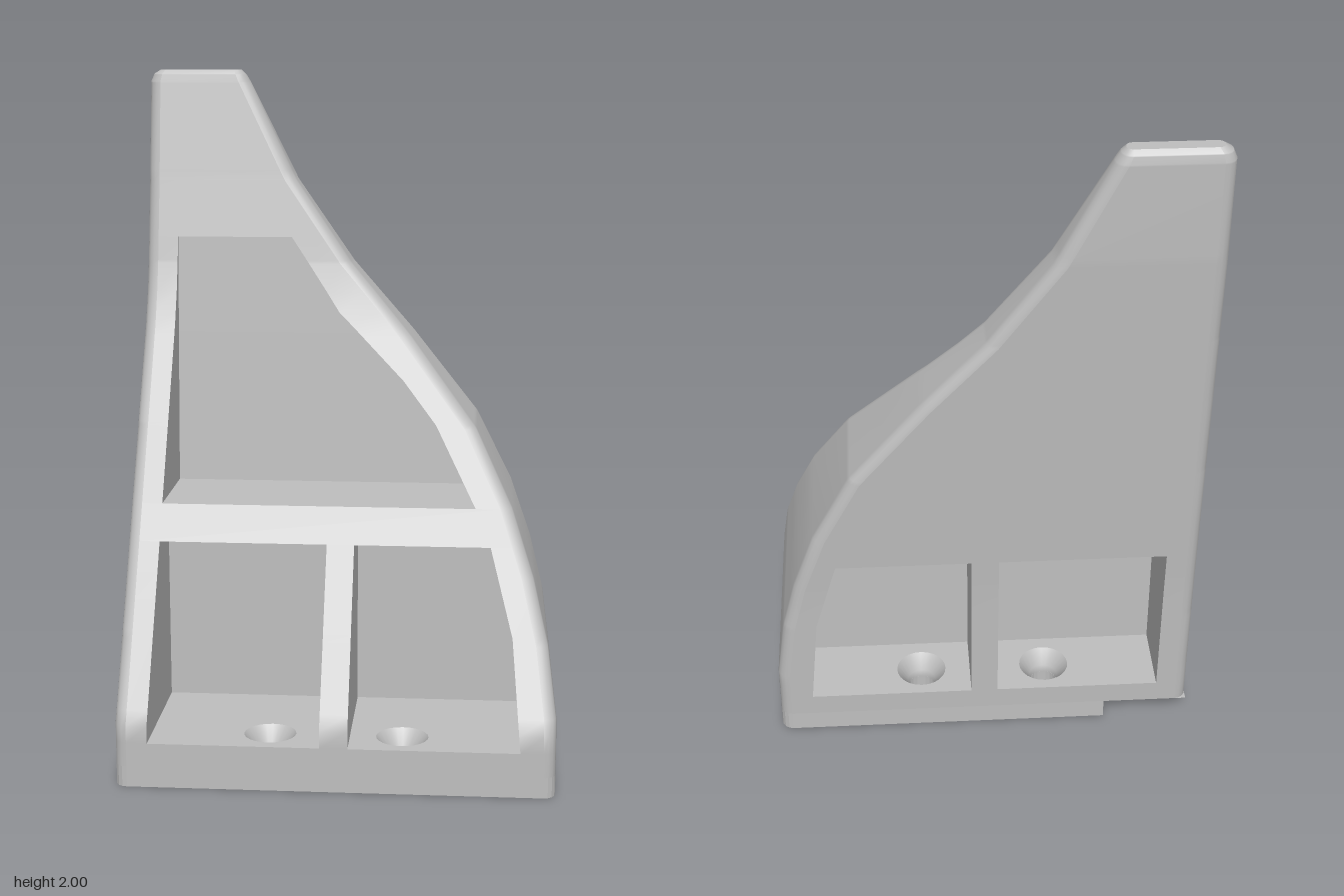
import * as THREE from 'three';

const grey = new THREE.MeshStandardMaterial({ color: 0xbfbfbf, side: THREE.DoubleSide });
grey.name = 'light grey';

// piecewise linear profile: [[y, value], ...] -> function of y
function profile(pts) {
  const f = (y) => {
    for (let i = 1; i < pts.length; i++) {
      const [y0, v0] = pts[i - 1], [y1, v1] = pts[i];
      if (y <= y1) return v0 + (v1 - v0) * Math.max(0, (y - y0) / (y1 - y0));
    }
    return pts[pts.length - 1][1];
  };
  f.ys = pts.map((p) => p[0]);
  return f;
}
const flat = (v) => () => v;

// outer form
const FOOT = 0.06;
const left = profile([[0, -0.625], [1.965, -0.625], [1.988, -0.615], [2, -0.595]]);
const right = profile([[0, 0.625], [0.22, 0.625], [0.4, 0.602], [0.57, 0.56], [0.75, 0.497], [0.96, 0.39],
  [1.21, 0.19], [1.42, 0.005], [1.67, -0.17], [1.96, -0.315], [1.985, -0.33], [2, -0.345]]);
const front = profile([[0, 0.43], [0.18, 0.43], [1.24, -0.18], [1.34, -0.223], [1.43, -0.25], [1.67, -0.3],
  [1.965, -0.355], [1.988, -0.36], [2, -0.372]]);
const back = profile([[0, -0.318], [0.5, -0.338], [1, -0.372], [1.7, -0.425], [1.965, -0.43], [1.988, -0.425], [2, -0.412]]);

// pocket edges
const pocketLeft = flat(-0.53);
const lowRight = profile([[0.13, 0.525], [0.42, 0.5], [0.65, 0.435]]);
const highRight = profile([[0.75, 0.39], [0.97, 0.27], [1.09, 0.17], [1.28, -0.03], [1.5, -0.18]]);
const highWall = profile([[0.75, -0.22], [1.5, -0.268]]);

const levels = [...new Set([left, right, front, back, lowRight, highRight].flatMap((f) => f.ys))].sort((a, b) => a - b);
const rowsBetween = (y0, y1) => [y0, ...levels.filter((y) => y > y0 + 1e-4 && y < y1 - 1e-4), y1];
const radius = (y) => Math.min(0.035, (front(y) - back(y)) * 0.45);

// skin over rows of points
function grid(rows) {
  const n = rows[0].length, index = [];
  for (let r = 0; r < rows.length - 1; r++) {
    for (let c = 0; c < n - 1; c++) {
      const a = r * n + c, b = a + 1, d = a + n, e = d + 1;
      index.push(a, b, e, a, e, d);
    }
  }
  const g = new THREE.BufferGeometry();
  g.setAttribute('position', new THREE.Float32BufferAttribute(rows.flat(2), 3));
  g.setIndex(index);
  g.computeVertexNormals();
  return g;
}

// one side of the horizontal section, with rounded corners, as [x, z]
function sidePoints(y, s) {
  const r = radius(y), x = s < 0 ? left(y) : right(y), pts = [];
  for (const [z, start] of [[front(y) - r, 0], [back(y) + r, 1]]) {
    for (let i = 0; i <= 4; i++) {
      const a = (start + i / 4) * Math.PI / 2;
      pts.push([x - s * r + s * r * Math.sin(a), z + r * Math.cos(a)]);
    }
  }
  return s < 0 ? pts.reverse() : pts;
}

export function createModel() {
  const root = new THREE.Group();
  root.name = 'ribbedBracket';
  const add = (name, geometry, parent = root) => {
    const m = new THREE.Mesh(geometry, grey);
    m.name = name;
    parent.add(m);
    return m;
  };

  // sheet following z(y) between two edges
  const panel = (name, y0, y1, xa, xb, z, parent) =>
    add(name, grid(rowsBetween(y0, y1).map((y) => [[xa(y), y, z(y)], [xb(y), y, z(y)]])), parent);

  // level sheet with optional screw hole
  const level = (name, y, xa, xb, za, zb, up, hole, parent) => {
    const s = new THREE.Shape();
    const k = up ? -1 : 1;
    s.moveTo(xa, k * za).lineTo(xb, k * za).lineTo(xb, k * zb).lineTo(xa, k * zb).closePath();
    if (hole) s.holes.push(new THREE.Path().absarc(hole[0], k * hole[1], 0.075, 0, Math.PI * 2));
    const g = new THREE.ShapeGeometry(s, 12).rotateX(k * Math.PI / 2);
    add(name, g.translate(0, y, 0), parent);
  };

  // recess with side walls, end wall, floor and ceiling
  const pocket = (name, y0, y1, xa, xb, open, wall, hole) => {
    const g = new THREE.Group();
    g.name = name;
    root.add(g);
    const ys = rowsBetween(y0, y1);
    const isFront = open(y0) > wall(y0);
    add('leftWall', grid(ys.map((y) => {
      const row = [[xa(y), y, open(y)], [xa(y), y, wall(y)]];
      return isFront ? row : row.reverse();
    })), g);
    add('rightWall', grid(ys.map((y) => {
      const row = [[xb(y), y, wall(y)], [xb(y), y, open(y)]];
      return isFront ? row : row.reverse();
    })), g);
    panel('endWall', y0, y1, isFront ? xa : xb, isFront ? xb : xa, wall, g);
    level('floor', y0, xa(y0), xb(y0), wall(y0), open(y0), true, hole, g);
    level('ceiling', y1, xa(y1), xb(y1), wall(y1), open(y1), false, null, g);
    if (hole) {
      const p = [[0.042, FOOT], [0.042, 0.085], [0.075, 0.13]].map((q) => new THREE.Vector2(...q));
      add('countersink', new THREE.LatheGeometry(p, 24).translate(hole[0], 0, hole[1]), g);
    }
  };

  // rounded flanks
  for (const [name, s] of [['straightFlank', -1], ['curvedFlank', 1]]) {
    add(name, grid(rowsBetween(FOOT, 2).map((y) => sidePoints(y, s).map(([x, z]) => [x, y, z]))));
  }

  // front and back faces, framed around the pockets
  const edgeL = (y) => left(y) + radius(y), edgeR = (y) => right(y) - radius(y);
  const frame = (side, z, hasUpper) => {
    const face = (name, y0, y1, xa, xb) =>
      side === 'front' ? panel(side + name, y0, y1, xa, xb, z) : panel(side + name, y0, y1, xb, xa, z);
    face('Sill', FOOT, 0.13, edgeL, edgeR);
    face('LowerRail', 0.13, 0.65, edgeL, pocketLeft);
    face('Post', 0.13, 0.65, flat(-0.04), flat(0.04));
    face('CurvedRail', 0.13, 0.65, lowRight, edgeR);
    if (hasUpper) {
      face('Shelf', 0.65, 0.75, edgeL, edgeR);
      face('UpperRail', 0.75, 1.5, edgeL, pocketLeft);
      face('UpperCurvedRail', 0.75, 1.5, highRight, edgeR);
      face('Tip', 1.5, 2, edgeL, edgeR);
    } else face('Plate', 0.65, 2, edgeL, edgeR);
  };
  frame('front', front, true);
  frame('back', back, false);

  // pockets
  const screws = [];
  for (const [side, open, wall, z] of [['front', front, 0, 0.32], ['back', back, -0.1, -0.215]]) {
    for (const [name, xa, xb, x] of [['RightPocket', pocketLeft, flat(-0.04), -0.19], ['LeftPocket', flat(0.04), lowRight, 0.19]]) {
      screws.push([x, z]);
      pocket(side + name, 0.13, 0.65, xa, xb, open, flat(wall), [x, z]);
    }
  }
  pocket('upperPocket', 0.75, 1.5, pocketLeft, highRight, front, highWall);

  // foot plate with corner slot and screw bores
  const SX = -0.37, SZ = 0.15;
  const foot = [...sidePoints(FOOT, -1).filter((p) => p[1] > SZ), ...sidePoints(FOOT, 1),
    [SX, back(FOOT)], [SX, SZ], [left(0), SZ]];
  const footShape = new THREE.Shape(foot.map(([x, z]) => new THREE.Vector2(x, -z)));
  for (const [x, z] of screws) footShape.holes.push(new THREE.Path().absarc(x, -z, 0.042, 0, Math.PI * 2));
  add('foot', new THREE.ExtrudeGeometry(footShape, { depth: FOOT, bevelEnabled: false, curveSegments: 10 }).rotateX(-Math.PI / 2));
  level('slotRoof', FOOT, left(0), SX, back(FOOT), SZ, false);

  // tip cap
  const cap = [...sidePoints(2, -1), ...sidePoints(2, 1)].map(([x, z]) => new THREE.Vector2(x, -z));
  add('tipCap', new THREE.ShapeGeometry(new THREE.Shape(cap)).rotateX(-Math.PI / 2).translate(0, 2, 0));
  return root;
}
